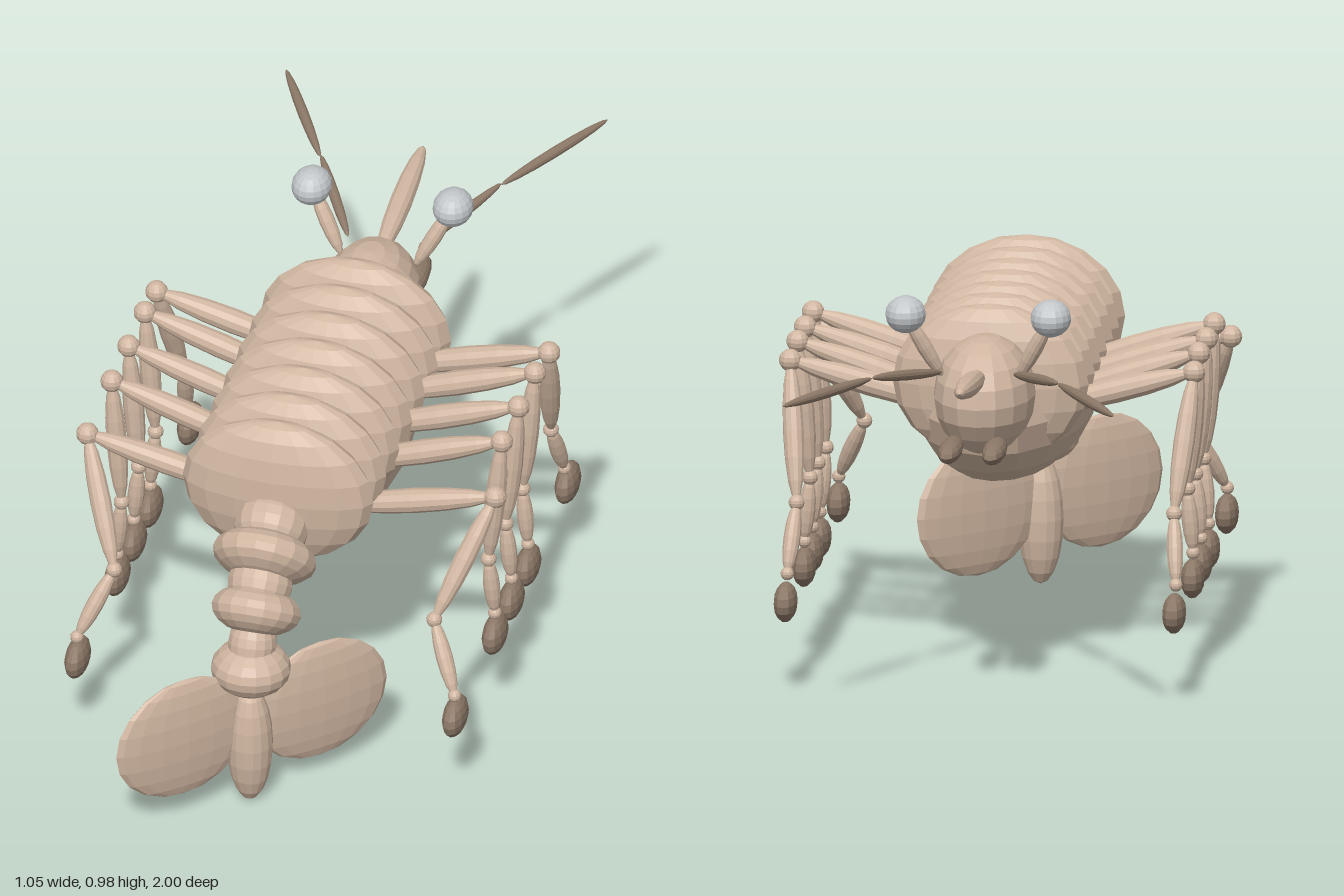
import * as THREE from 'three';

export function createModel() {
  const model = new THREE.Group();
  model.name = 'crustacean';

  const mat = (name, color) => {
    const m = new THREE.MeshStandardMaterial({ color, flatShading: true });
    m.name = name;
    return m;
  };
  const shell = mat('shellTan', 0xd0b6a1);
  const dark = mat('darkBrown', 0x8d7968);
  const eyeGrey = mat('eyeGrey', 0xc3c7ca);

  const ball = new THREE.SphereGeometry(1, 16, 10);
  const smallBall = new THREE.SphereGeometry(1, 12, 8);
  const UP = new THREE.Vector3(0, 1, 0);

  // Ellipsoid with centre and radii
  function blob(name, pos, radii, material = shell, geo = ball) {
    const m = new THREE.Mesh(geo, material);
    m.name = name;
    m.position.set(...pos);
    m.scale.set(...radii);
    model.add(m);
    return m;
  }
  // Slender ellipsoid running from point a to point b
  function limb(name, a, b, r, material = shell) {
    const va = new THREE.Vector3(...a), vb = new THREE.Vector3(...b);
    const dir = vb.clone().sub(va);
    const half = dir.length() / 2;
    const mid = va.add(vb).multiplyScalar(0.5);
    const m = blob(name, mid.toArray(), [r, half, r], material, smallBall);
    m.quaternion.setFromUnitVectors(UP, dir.normalize());
    return m;
  }
  const joint = (name, p, r) => blob(name, p, [r, r, r], shell, smallBall);

  // Overlapping back plates and belly
  for (let i = 0; i < 7; i++) {
    blob('backPlate' + (i + 1), [0, 0.72, -0.188 + i * 0.1155], [0.232, 0.19, 0.073]);
  }
  blob('belly', [0, 0.64, 0.12], [0.215, 0.205, 0.48]);

  // Head with its pointed beak
  blob('head', [0, 0.72, -0.3], [0.12, 0.14, 0.178]);
  limb('rostrum', [0, 0.785, -0.39], [0, 0.835, -0.79], 0.027);

  for (const s of [1, -1]) {
    const side = s > 0 ? 'left' : 'right';
    // Stalked eyes, antennae and mouthparts
    limb(side + 'EyeStalk', [s * 0.09, 0.78, -0.385], [s * 0.17, 0.93, -0.425], 0.019);
    blob(side + 'Eye', [s * 0.172, 0.936, -0.424], [0.048, 0.044, 0.056], eyeGrey);
    limb(side + 'AntennaBase', [s * 0.085, 0.8, -0.43], [s * 0.22, 0.842, -0.68], 0.013, dark);
    limb(side + 'AntennaTip', [s * 0.22, 0.84, -0.675], [s * 0.392, 0.844, -0.997], 0.013, dark);
    blob(side + 'Mouthpart', [s * 0.052, 0.637, -0.53], [0.028, 0.025, 0.1], dark, smallBall);

    // Five legs: [knee y, knee x, knee z, ankle x, ankle z, wrist z, foot z, hip y]
    const legs = [
      [0.752, 0.478, -0.16, 0.447, -0.29, -0.362, -0.393, 0.65],
      [0.77, 0.475, -0.045, 0.447, -0.037, -0.037, -0.038, 0.645],
      [0.77, 0.475, 0.1, 0.447, 0.112, 0.11, 0.108, 0.645],
      [0.77, 0.475, 0.25, 0.447, 0.265, 0.258, 0.254, 0.645],
      [0.707, 0.497, 0.387, 0.39, 0.54, 0.615, 0.608, 0.615],
    ];
    legs.forEach(([ky, kx, kz, ax, az, wz, fz, hy], i) => {
      const n = side + 'Leg' + (i + 1);
      const hip = [s * 0.1, hy, kz];
      const knee = [s * kx, ky, kz];
      const ankle = [s * ax, 0.44, az];
      const wrist = [s * 0.46, 0.285, wz];
      limb(n + 'Thigh', hip, knee, 0.03);
      joint(n + 'Knee', knee, 0.027);
      limb(n + 'Shin', knee, ankle, 0.025);
      joint(n + 'Ankle', ankle, 0.019);
      limb(n + 'LowerLeg', ankle, wrist, 0.02);
      joint(n + 'FootJoint', wrist, 0.016);
      blob(n + 'Foot', [s * 0.46, 0.224, fz], [0.028, 0.047, 0.064], dark, smallBall);
    });
  }

  // Curled tail: [y, z, radius, half thickness, axis tilt]
  const tail = [
    [0.65, 0.56, 0.09, 0.08, -0.95],
    [0.605, 0.625, 0.125, 0.06, -0.9],
    [0.555, 0.665, 0.078, 0.07, -0.75],
    [0.502, 0.7, 0.108, 0.06, -0.66],
    [0.43, 0.735, 0.058, 0.07, -0.35],
    [0.37, 0.747, 0.095, 0.066, -0.1],
  ];
  tail.forEach(([y, z, r, h, tilt], i) => {
    const m = blob(i % 2 ? 'tailRing' : 'tailJoint', [0, y, z], [r, h, r]);
    m.rotation.x = tilt;
  });

  // Tail fan lobes lie in one plane turned about the vertical
  blob('telson', [0, 0.165, 0.757], [0.055, 0.16, 0.053]);
  for (const s of [1, -1]) {
    const lobe = blob(s > 0 ? 'leftFanLobe' : 'rightFanLobe',
      [s * 0.13, s > 0 ? 0.216 : 0.232, 0.742 - s * 0.13], [0.182, 0.161, 0.027]);
    lobe.rotation.y = Math.PI / 4;
  }

  return model;
}
